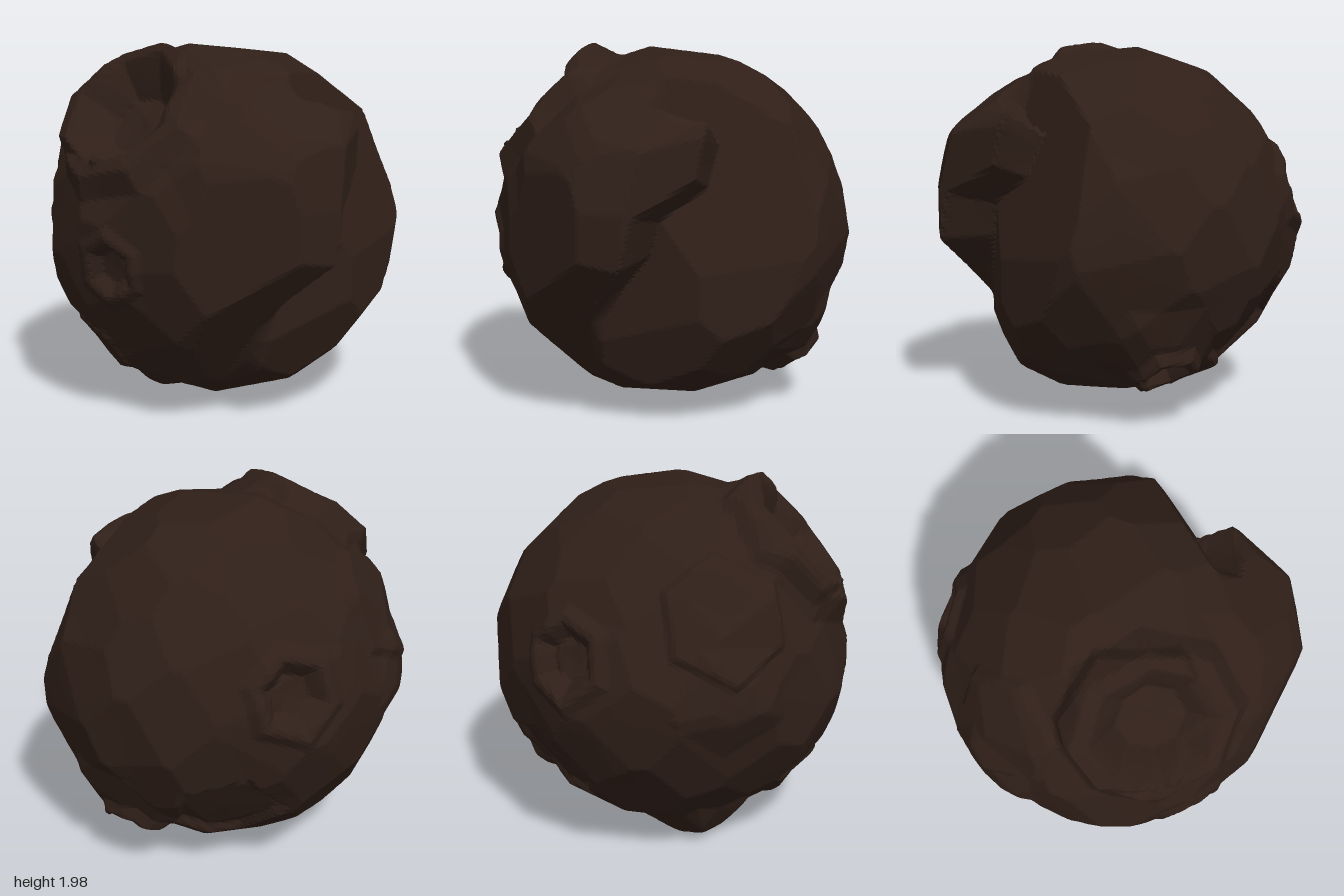
import * as THREE from 'three';

const dir = (x, y, z) => new THREE.Vector3(x, y, z).normalize();
const lerpTable = (table, t) => {
  if (t <= table[0][0]) return table[0][1];
  for (let i = 1; i < table.length; i++) {
    const [a, va] = table[i - 1], [b, vb] = table[i];
    if (t <= b) return va + (vb - va) * (t - a) / (b - a);
  }
  return table[table.length - 1][1];
};

// Flat facets spread over the sphere: each is a plane [normal, distance]
function makeFacets(count) {
  let seed = 7;
  const rand = () => (seed = (seed * 16807) % 2147483647) / 2147483647;
  return Array.from({ length: count }, (_, i) => {
    const y = 1 - 2 * (i + 0.5) / count, s = Math.sqrt(1 - y * y);
    const a = i * 2.39996 + (rand() - 0.5) * 0.25;
    return [dir(s * Math.cos(a), y, s * Math.sin(a)), 0.945 + (rand() - 0.5) * 0.02];
  });
}

// Larger cuts: underside, lower back, top, upper back
const cuts = [
  [dir(0.15, -1, 0), 0.9],
  [dir(0.45, -0.5, -0.7), 0.93],
  [dir(0.12, 1, 0), 0.936],
  [dir(0.2, 0.75, -0.63), 0.935],
];

// Protruding front lump, left of the ridge line: right, left, under, top and front faces
const lumpPlanes = [
  [dir(0.67, 0, 0.74), 0.78],
  [dir(-0.555, 0, 0.83), 0.93],
  [dir(-0.1, -0.6, 0.79), 0.84],
  [dir(0, 0.81, 0.585), 0.965],
  [dir(0, 0.21, 0.977), 1.02],
  [dir(0, 0, 1), 1],
];

// Broken-away front, right of the ridge line
const chipPlanes = [
  [dir(0.45, 0, 0.89), 0.79],
  [dir(0.1, -0.35, 0.93), 0.82],
  [dir(0, 0, 1), 0.7],
  [dir(0.4, 0.3, 0.87), 0.71],
];

// Ridge line between them as [y, x]
const ridge = [[-0.8, -0.3], [-0.5, -0.28], [-0.3, -0.15], [-0.07, 0.04],
  [0.18, 0.1], [0.4, 0.4], [0.64, 0.4], [0.74, 0.06], [0.84, 0.02], [1, 0]];

// Profiles run from the middle (0) past the rim (1); values scale with the height
const crater = [[0, -1], [0.58, -0.9], [0.9, 0.3], [1.1, 0.4], [1.4, 0]];
const bump = [[0, 1], [0.35, 0.9], [1, 0]];
const plate = [[0, 0.8], [0.88, 1], [1, 0]];

const features = [
  // craters
  { at: dir(-0.71, 0.68, 0.13), size: 0.35, height: 0.18, sides: 8, turn: 0.3, profile: crater },
  { at: dir(0.24, 0.22, -0.93), size: 0.19, height: 0.08, sides: 6, turn: 0.2, profile: crater },
  { at: dir(0.7, -0.74, -0.13), size: 0.14, height: 0.12, sides: 6, turn: 0.5, profile: crater },
  { at: dir(-0.91, -0.13, 0.32), size: 0.15, height: 0.05, sides: 6, turn: 0, profile: crater },
  // raised and sunken plates
  { at: dir(-0.54, 0.45, -0.66), size: 0.32, height: 0.03, sides: 6, turn: 0, profile: plate },
  { at: dir(-0.68, 0.73, 0.03), size: 0.38, height: 0.05, sides: 6, turn: 0.4, profile: plate },
  { at: dir(-0.77, -0.65, -0.05), size: 0.18, height: 0.02, sides: 5, turn: 0, profile: plate },
  { at: dir(0.47, -0.55, -0.67), size: 0.28, height: -0.045, sides: 5, turn: 0.6, profile: plate },
  // bulges
  { at: dir(-0.64, 0.04, -0.77), size: 0.28, height: 0.06, sides: 5, turn: 0.2, profile: bump },
  { at: dir(-0.3, -0.98, -0.29), size: 0.27, height: 0.1, sides: 5, turn: 0.1, profile: bump },
  { at: dir(0.8, -0.63, -0.08), size: 0.3, height: 0.07, sides: 5, turn: 0.3, profile: bump },
  { at: dir(-0.06, 0.34, 0.94), size: 0.62, height: 0.11, sides: 6, turn: 0.2, profile: bump },
  { at: dir(0.95, -0.1, 0.15), size: 0.5, height: 0.02, sides: 6, turn: 0.1, profile: bump },
  { at: dir(0.1, 0, -1), size: 0.45, height: 0.025, sides: 6, turn: 0.3, profile: bump },
  { at: dir(-0.98, -0.2, -0.05), size: 0.5, height: 0.025, sides: 6, turn: 0.2, profile: bump },
  { at: dir(-0.55, -0.82, 0), size: 0.3, height: 0.03, sides: 5, turn: 0.2, profile: bump },
];
for (const f of features) {
  f.u = new THREE.Vector3(0, 1, 0).cross(f.at).normalize();
  f.v = f.at.clone().cross(f.u);
}

const cutRadius = (d, planes, start) => planes.reduce((r, [n, dist]) => {
  const c = n.dot(d);
  return c > 0.2 ? Math.min(r, dist / c) : r;
}, start);

// Height of one many-sided feature along direction d
function featureHeight(f, d) {
  if (f.at.dot(d) < 0.5) return 0;
  const u = f.u.dot(d), v = f.v.dot(d);
  let t = 0;
  for (let k = 0; k < f.sides; k++) {
    const a = f.turn + k * 2 * Math.PI / f.sides;
    t = Math.max(t, u * Math.cos(a) + v * Math.sin(a));
  }
  return f.height * lerpTable(f.profile, t / f.size);
}

function makeRock() {
  const facets = makeFacets(90).concat(cuts);
  const geo = new THREE.IcosahedronGeometry(1, 50);
  const pos = geo.attributes.position;
  const d = new THREE.Vector3();
  for (let i = 0; i < pos.count; i++) {
    d.fromBufferAttribute(pos, i).normalize();
    let r = cutRadius(d, facets, 1.05);
    for (const f of features) r += featureHeight(f, d);
    if (d.z > 0) {
      const s = THREE.MathUtils.clamp((d.x - lerpTable(ridge, d.y)) / 0.11, 0, 1);
      r = THREE.MathUtils.lerp(cutRadius(d, lumpPlanes, r), cutRadius(d, chipPlanes, r), s);
    }
    pos.setXYZ(i, d.x * r, d.y * r + 1, d.z * r);
  }
  geo.computeVertexNormals();
  return geo;
}

export function createModel() {
  const group = new THREE.Group();
  group.name = 'asteroid';
  const material = new THREE.MeshStandardMaterial({ color: 0x2f1f18, flatShading: true });
  const rock = new THREE.Mesh(makeRock(), material);
  rock.name = 'crateredRock';
  group.add(rock);
  return group;
}
